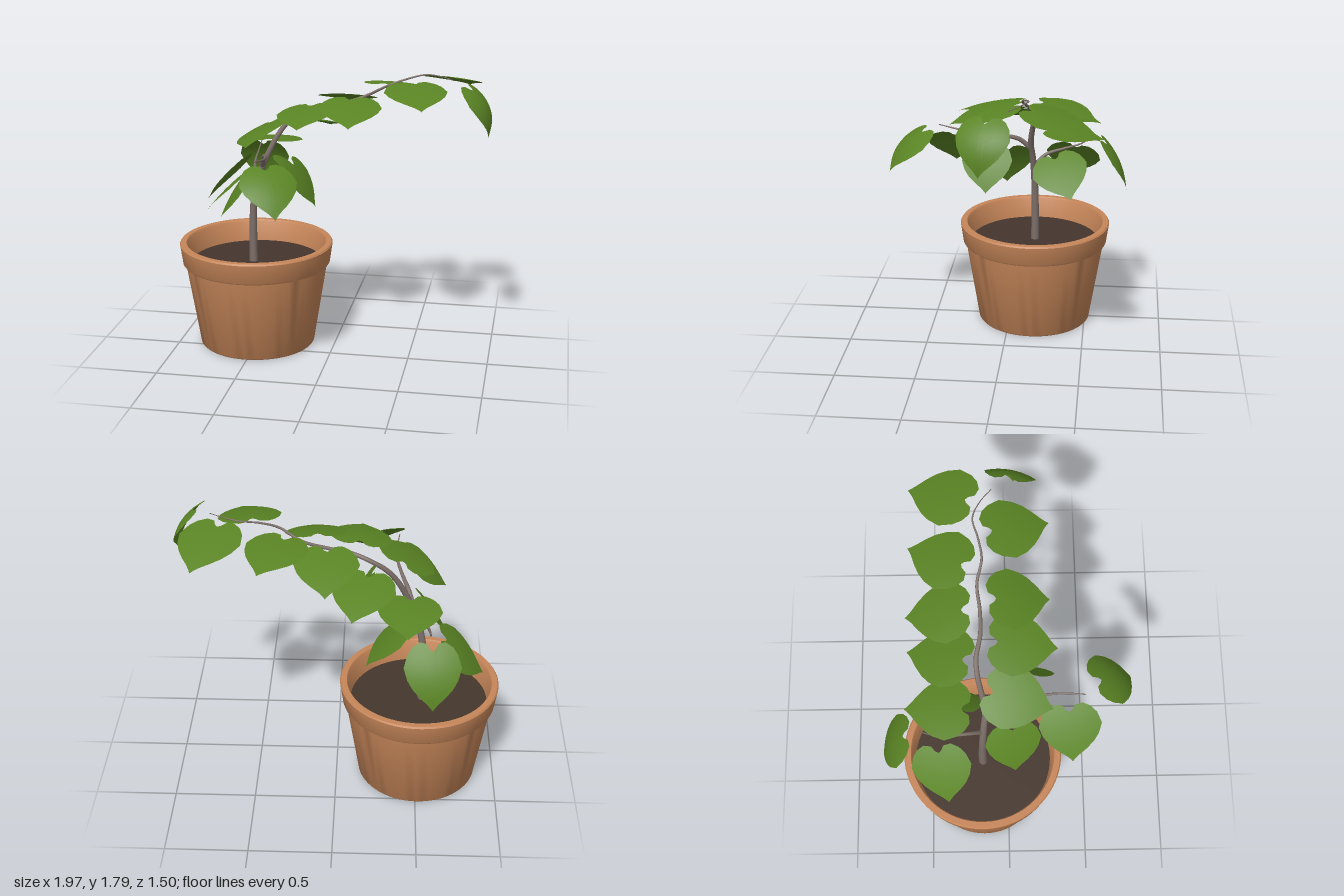
import * as THREE from 'three';
import { toCreasedNormals } from 'three/addons/utils/BufferGeometryUtils.js';

const terracotta = new THREE.MeshStandardMaterial({ color: 0xc68659 });
terracotta.name = 'terracotta';
const soilBrown = new THREE.MeshStandardMaterial({ color: 0x45362d });
soilBrown.name = 'soil brown';
const bark = new THREE.MeshStandardMaterial({ color: 0x7d6f69 });
bark.name = 'bark';
const leafGreen = new THREE.MeshStandardMaterial({ color: 0x5a8424, side: THREE.DoubleSide });
leafGreen.name = 'leaf green';

const V = (p) => new THREE.Vector3(...p);

function addMesh(parent, name, geometry, material) {
  const mesh = new THREE.Mesh(geometry, material);
  mesh.name = name;
  parent.add(mesh);
  return mesh;
}

// Piecewise linear lookup through [position, value] pairs
function lookup(table, s) {
  for (let i = 1; i < table.length; i++) {
    const [a, va] = table[i - 1], [b, vb] = table[i];
    if (s <= b) return va + ((vb - va) * (s - a)) / (b - a);
  }
  return table[table.length - 1][1];
}

// Tube whose radius shrinks from r0 to r1 along its length
function taperedTube(points, r0, r1, segments) {
  const curve = new THREE.CatmullRomCurve3(points.map(V));
  const sides = 10;
  const geo = new THREE.TubeGeometry(curve, segments, 1, sides, false);
  const pos = geo.attributes.position;
  const v = new THREE.Vector3();
  for (let i = 0; i <= segments; i++) {
    const t = i / segments;
    const centre = curve.getPointAt(t);
    const r = r0 + (r1 - r0) * t;
    for (let j = 0; j <= sides; j++) {
      const k = i * (sides + 1) + j;
      v.fromBufferAttribute(pos, k).sub(centre).multiplyScalar(r).add(centre);
      pos.setXYZ(k, v.x, v.y, v.z);
    }
  }
  return geo;
}

// Heart outline: rear and front edge of the blade at each distance from the midrib
const REAR = [[0, 0.13], [0.1, 0.1], [0.2, 0.02], [0.45, 0], [0.7, 0.07], [0.88, 0.18], [1, 0.36]];
const FRONT = [[0, 1], [0.06, 0.96], [0.2, 0.89], [0.45, 0.79], [0.7, 0.67], [0.88, 0.54], [1, 0.37]];
const COLUMNS = [0, 0.06, 0.1, 0.2, 0.33, 0.45, 0.58, 0.7, 0.8, 0.88, 0.95, 1];

// Leaf blade from its rear to its tip, facing up, bowed outward and drooping at the sides
function leafGeometry(rear, tip, up, width, bow, droop) {
  const dir = tip.clone().sub(rear);
  const side = dir.clone().cross(up).normalize();
  const normal = side.clone().cross(dir).normalize();
  const columns = [...COLUMNS.slice(1).reverse().map((s) => -s), ...COLUMNS];
  const rows = 8;
  const positions = [], index = [];
  columns.forEach((s, c) => {
    const a = Math.abs(s);
    const r = lookup(REAR, a), f = lookup(FRONT, a);
    for (let i = 0; i <= rows; i++) {
      const t = r + ((f - r) * i) / rows;
      const lift = bow * 4 * t * (1 - t) - droop * s * s;
      const p = rear.clone().addScaledVector(dir, t)
        .addScaledVector(side, (s * width) / 2).addScaledVector(normal, lift);
      positions.push(p.x, p.y, p.z);
      if (c > 0 && i > 0) {
        const k = c * (rows + 1) + i, q = k - rows - 1;
        index.push(q - 1, k - 1, k, q - 1, k, q);
      }
    }
  });
  const geo = new THREE.BufferGeometry();
  geo.setAttribute('position', new THREE.Float32BufferAttribute(positions, 3));
  geo.setIndex(index);
  geo.computeVertexNormals();
  return geo;
}

export function createModel() {
  const model = new THREE.Group();
  model.name = 'pottedPlant';

  // Pot with a thick rim, open at the top
  const pot = new THREE.Group();
  pot.name = 'pot';
  pot.position.set(-0.51, 0, -0.16);
  model.add(pot);
  const profile = [
    [0, 0], [0.362, 0], [0.37, 0.01], [0.455, 0.54], [0.466, 0.54], [0.473, 0.55],
    [0.49, 0.67], [0.483, 0.68], [0.448, 0.68], [0.441, 0.67], [0.42, 0.52],
  ].map(([x, y]) => new THREE.Vector2(x, y));
  const potGeo = toCreasedNormals(new THREE.LatheGeometry(profile, 64), 0.6);
  addMesh(pot, 'potShell', potGeo, terracotta);
  const soil = addMesh(pot, 'soil', new THREE.CircleGeometry(0.43, 48), soilBrown);
  soil.rotation.x = -Math.PI / 2;
  soil.position.y = 0.54;

  // Leaning stem and two side branches
  addMesh(model, 'stem', taperedTube([
    [-0.53, 0.52, -0.16], [-0.53, 0.7, -0.16], [-0.52, 0.95, -0.155], [-0.48, 1.12, -0.145],
    [-0.43, 1.24, -0.135], [-0.36, 1.38, -0.155], [-0.29, 1.47, -0.175], [-0.2, 1.53, -0.18],
    [-0.08, 1.57, -0.155], [0.06, 1.6, -0.155], [0.2, 1.65, -0.17], [0.33, 1.72, -0.14],
    [0.44, 1.76, -0.16], [0.55, 1.785, -0.19], [0.65, 1.785, -0.15], [0.74, 1.775, -0.08],
  ], 0.027, 0.002, 90), bark);
  addMesh(model, 'frontBranch', taperedTube([
    [-0.46, 1.18, -0.14], [-0.43, 1.26, -0.06], [-0.39, 1.295, 0.07],
    [-0.36, 1.32, 0.22], [-0.36, 1.34, 0.34], [-0.375, 1.36, 0.45],
  ], 0.017, 0.003, 30), bark);
  addMesh(model, 'backBranch', taperedTube([
    [-0.5, 1.06, -0.15], [-0.53, 1.13, -0.23], [-0.55, 1.165, -0.34],
    [-0.555, 1.2, -0.45], [-0.55, 1.25, -0.52],
  ], 0.014, 0.003, 24), bark);

  // Leaves: name, rear, tip, facing, then optional width, bow and side droop
  const leaves = new THREE.Group();
  leaves.name = 'leaves';
  model.add(leaves);
  const level = [0, 1, 0];
  [
    ['backRowLeaf', [-0.44, 1.325, -0.22], [-0.42, 1.27, -0.61], level],
    ['backRowLeaf', [-0.2, 1.48, -0.21], [-0.1, 1.36, -0.59], level],
    ['backRowLeaf', [0.05, 1.645, -0.21], [0.05, 1.52, -0.59], level],
    ['backRowLeaf', [0.28, 1.71, -0.21], [0.43, 1.65, -0.57], level],
    ['backRowLeaf', [0.66, 1.78, -0.18], [0.8, 1.66, -0.57], level],
    ['frontRowLeaf', [-0.38, 1.48, -0.14], [-0.47, 1.39, 0.26], [-0.4, 0.9, 0]],
    ['frontRowLeaf', [-0.13, 1.6, -0.11], [-0.15, 1.52, 0.29], [-0.12, 1, 0]],
    ['frontRowLeaf', [0.11, 1.65, -0.11], [0.15, 1.53, 0.25], level],
    ['frontRowLeaf', [0.48, 1.75, -0.13], [0.58, 1.65, 0.25], level],
    ['endLeaf', [0.81, 1.77, 0.01], [0.955, 1.465, 0.05], [0.85, 0.4, 0.2], 0.31, 0.06, 0.03],
    ['lowBackLeaf', [-0.61, 1.18, -0.42], [-0.88, 0.88, -0.36], [-0.75, 0.6, -0.1], 0.36],
    ['lowSideLeaf', [-0.49, 1.19, 0.02], [-0.69, 0.88, 0.04], [-0.8, 0.5, 0.2], 0.34],
    ['lowFrontLeaf', [-0.41, 1.3, 0.35], [-0.68, 1.03, 0.38], [-0.7, 0.7, 0], 0.37],
    ['innerFrontLeaf', [-0.23, 1.3, 0.12], [-0.07, 1.01, 0.12], [0.85, 0.5, 0.1], 0.32],
    ['innerBackLeaf', [-0.42, 1.17, -0.28], [-0.18, 0.945, -0.41], [0.7, 0.7, 0], 0.36],
    ['frontBranchLeaf', [-0.3, 1.36, 0.5], [-0.18, 1.1, 0.74], [0.35, 0.5, 0.7], 0.34, 0.04, 0.03],
    ['backBranchLeaf', [-0.56, 1.24, -0.58], [-0.57, 0.88, -0.755], [0, 0.4, -0.9], 0.33, 0.04, 0.02],
  ].forEach(([name, rear, tip, up, width = 0.38, bow = 0.015, droop = 0.012]) => {
    addMesh(leaves, name, leafGeometry(V(rear), V(tip), V(up), width, bow, droop), leafGreen);
  });

  return model;
}
